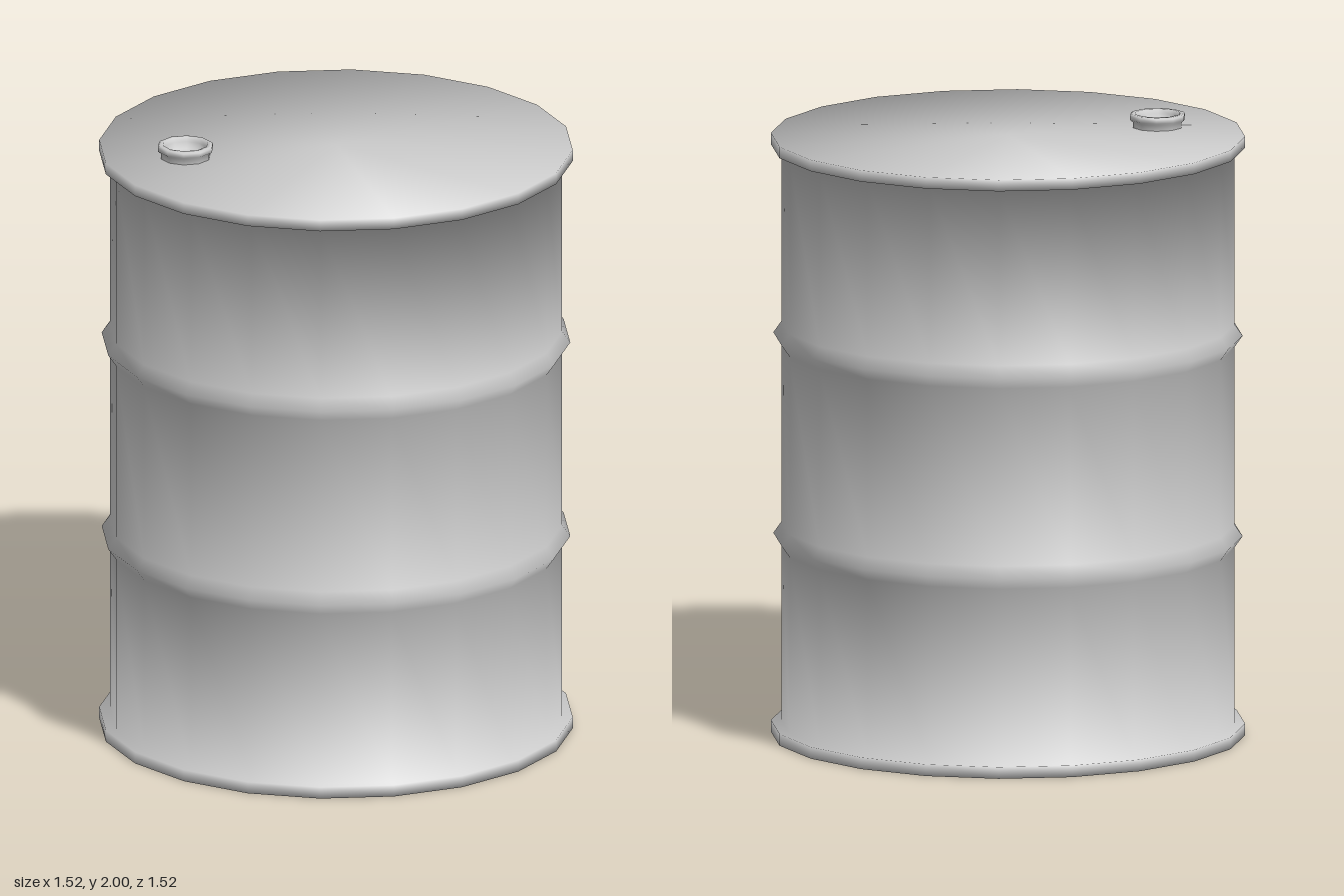
import * as THREE from 'three';

const material = new THREE.MeshStandardMaterial({ color: 0xcccccc });

// Faceted lathe with soft normals: each ring averages the directions of the two bands it joins.
function softLathe(name, profile, sides) {
  const points = profile.map(([r, y]) => new THREE.Vector2(r, y));
  const geometry = new THREE.LatheGeometry(points, sides, Math.PI / 2);
  const bands = points.slice(1).map((p, i) => {
    const d = p.clone().sub(points[i]).normalize();
    return new THREE.Vector2(d.y, -d.x);
  });
  const normals = geometry.attributes.normal;
  for (let s = 0; s <= sides; s++) {
    const a = Math.PI / 2 + (s / sides) * Math.PI * 2;
    points.forEach((p, j) => {
      const before = bands[Math.max(j - 1, 0)];
      const after = bands[Math.min(j, bands.length - 1)];
      const n = before.clone().add(after).normalize();
      normals.setXYZ(s * points.length + j, n.x * Math.sin(a), n.y, n.x * Math.cos(a));
    });
  }
  const mesh = new THREE.Mesh(geometry, material);
  mesh.name = name;
  return mesh;
}

export function createModel() {
  const group = new THREE.Group();
  group.name = 'drum';

  const wall = 0.727, rim = 0.761, ribRadius = 0.753;
  const rib = (y) => [[wall, y - 0.037], [ribRadius, y], [wall, y + 0.037]];

  // Closed shell: base, bottom rim, wall with two ribs, top rim and lid
  group.add(softLathe('drumBody', [
    [0, 0], [rim, 0], [rim, 0.038], [wall, 0.038],
    ...rib(0.65), ...rib(1.305),
    [wall, 1.919], [rim, 1.919], [rim, 1.956], [0, 1.956],
  ], 20));

  // Filler neck with a rolled lip and a hollow, dished inside
  const neck = softLathe('fillerNeck', [
    [0.081, 1.95], [0.081, 1.974], [0.091, 1.982], [0.091, 1.995],
    [0.086, 2], [0.073, 2], [0.068, 1.985], [0.06, 1.964], [0, 1.96],
  ], 10);
  neck.position.x = -0.498;
  group.add(neck);

  return group;
}
